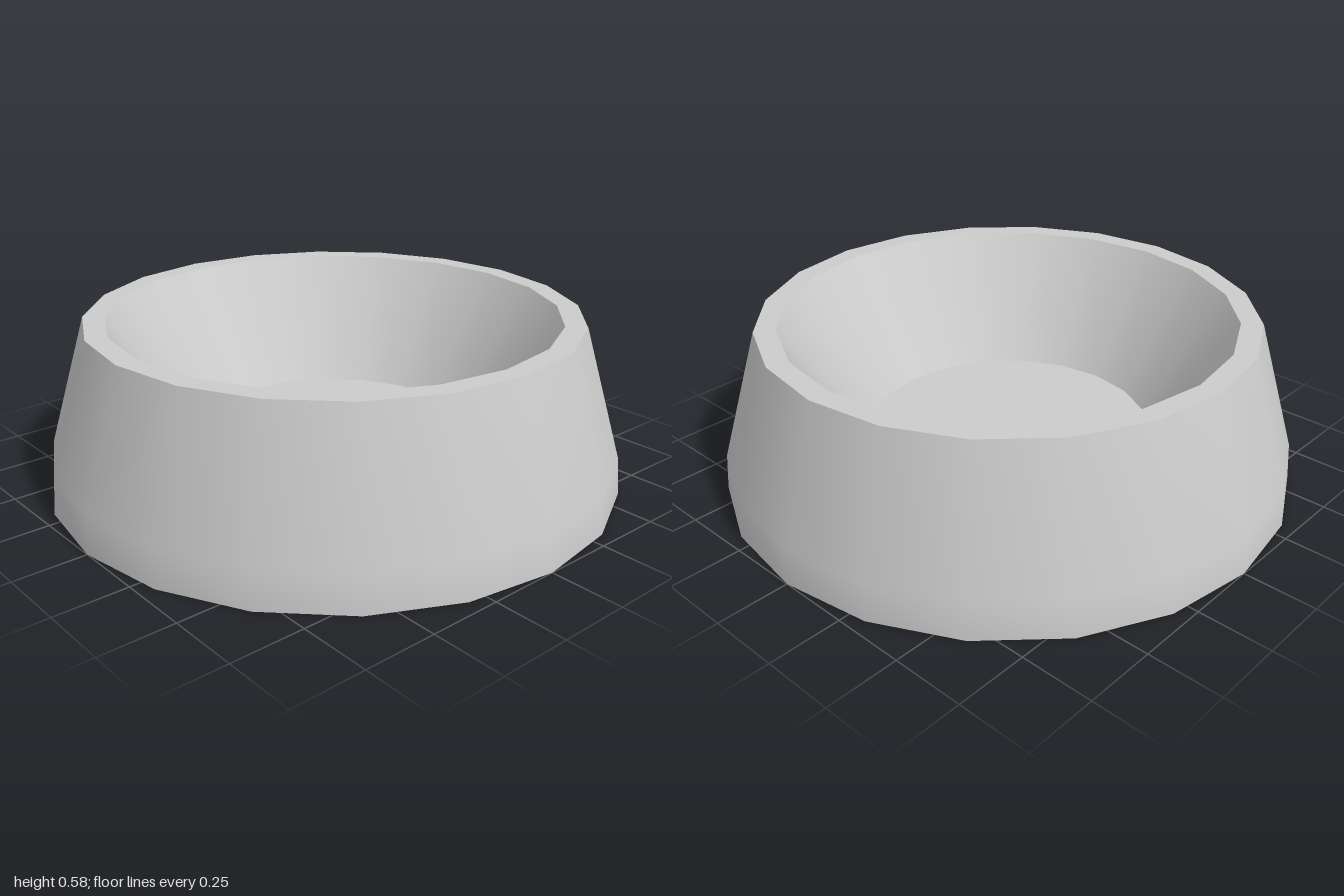
import * as THREE from 'three';

const SIDES = 20;
const material = new THREE.MeshStandardMaterial({ color: 0xcccccc });

// One smooth band of revolution; separate bands meet in sharp edges.
function band(name, profile) {
  const points = profile.map(([r, y]) => new THREE.Vector2(r, y));
  const mesh = new THREE.Mesh(new THREE.LatheGeometry(points, SIDES), material);
  mesh.name = name;
  return mesh;
}

// Flat disc, facing up or down.
function disc(name, radius, y, up) {
  const geometry = new THREE.CircleGeometry(radius, SIDES);
  geometry.rotateX(up ? -Math.PI / 2 : Math.PI / 2);
  const mesh = new THREE.Mesh(geometry, material);
  mesh.name = name;
  mesh.position.y = y;
  return mesh;
}

export function createModel() {
  const bowl = new THREE.Group();
  bowl.name = 'bowl';
  bowl.add(
    // Flared outside, with a slight tuck towards the foot
    band('outerWall', [[1, 0], [0.99, 0.13], [0.855, 0.585]]),
    // Flat lip
    band('rim', [[0.855, 0.585], [0.78, 0.585]]),
    // Sloping inside and flat floor
    band('innerWall', [[0.78, 0.585], [0.5, 0.15]]),
    disc('bowlFloor', 0.5, 0.15, true),
    // Closed underside
    disc('base', 1, 0, false),
  );
  return bowl;
}
